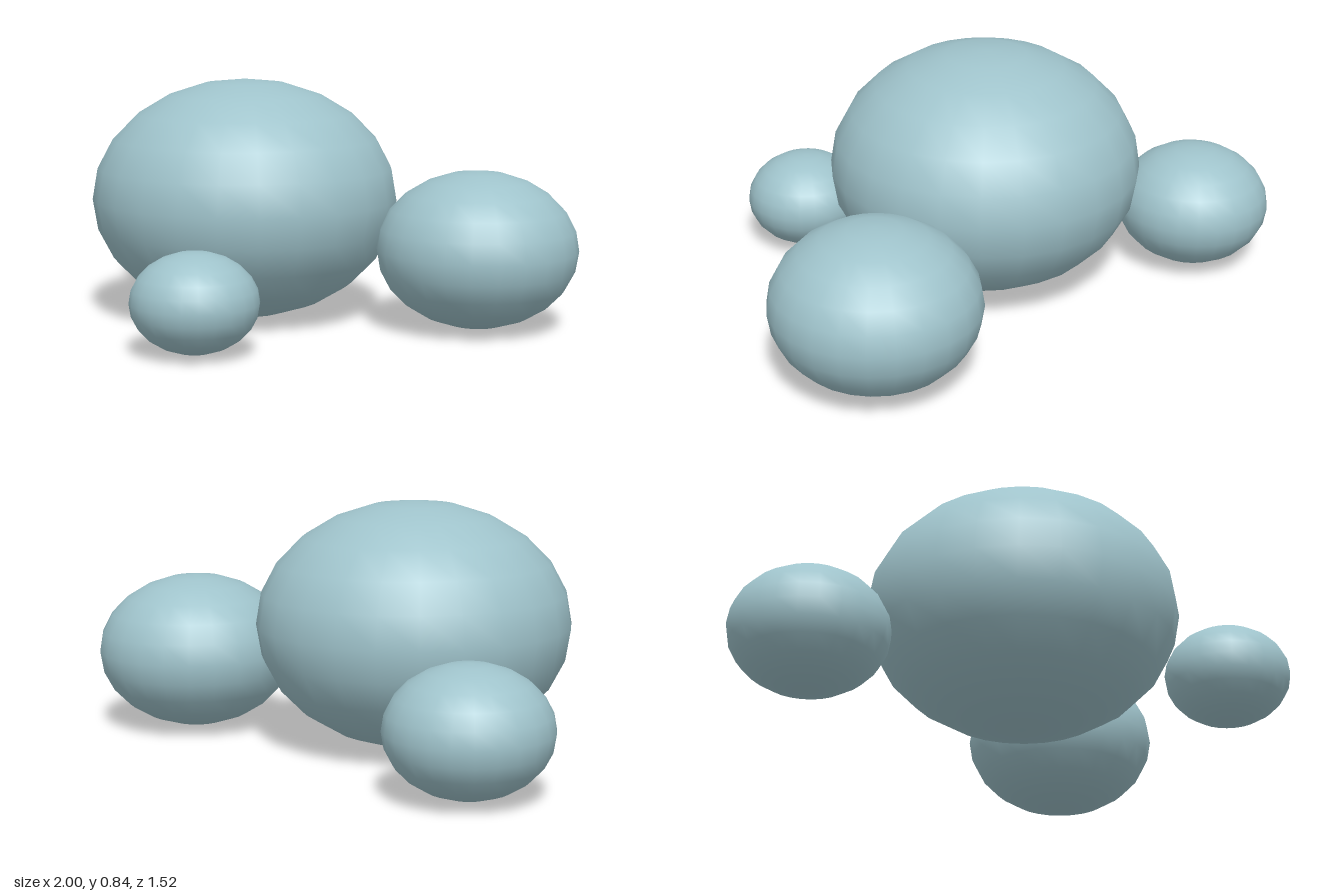
import * as THREE from 'three';

export function createModel() {
  const group = new THREE.Group();
  const stone = new THREE.MeshStandardMaterial({ color: 0x9fc3cb });
  stone.name = 'pale blue grey';
  const sphere = new THREE.SphereGeometry(1, 24, 12);

  // Flattened pebbles resting on the ground: name, x, z, radius, half height, centre height
  const pebbles = [
    ['mainPebble', -0.115, -0.07, 0.535, 0.418, 0.422],
    ['leftPebble', 0.655, -0.378, 0.343, 0.268, 0.278],
    ['rightPebble', -0.735, -0.495, 0.266, 0.209, 0.22],
    ['frontPebble', 0.19, 0.547, 0.21, 0.165, 0.176],
  ];
  for (const [name, x, z, radius, halfHeight, y] of pebbles) {
    const pebble = new THREE.Mesh(sphere, stone);
    pebble.name = name;
    pebble.position.set(x, y, z);
    pebble.scale.set(radius, halfHeight, radius);
    group.add(pebble);
  }
  return group;
}
